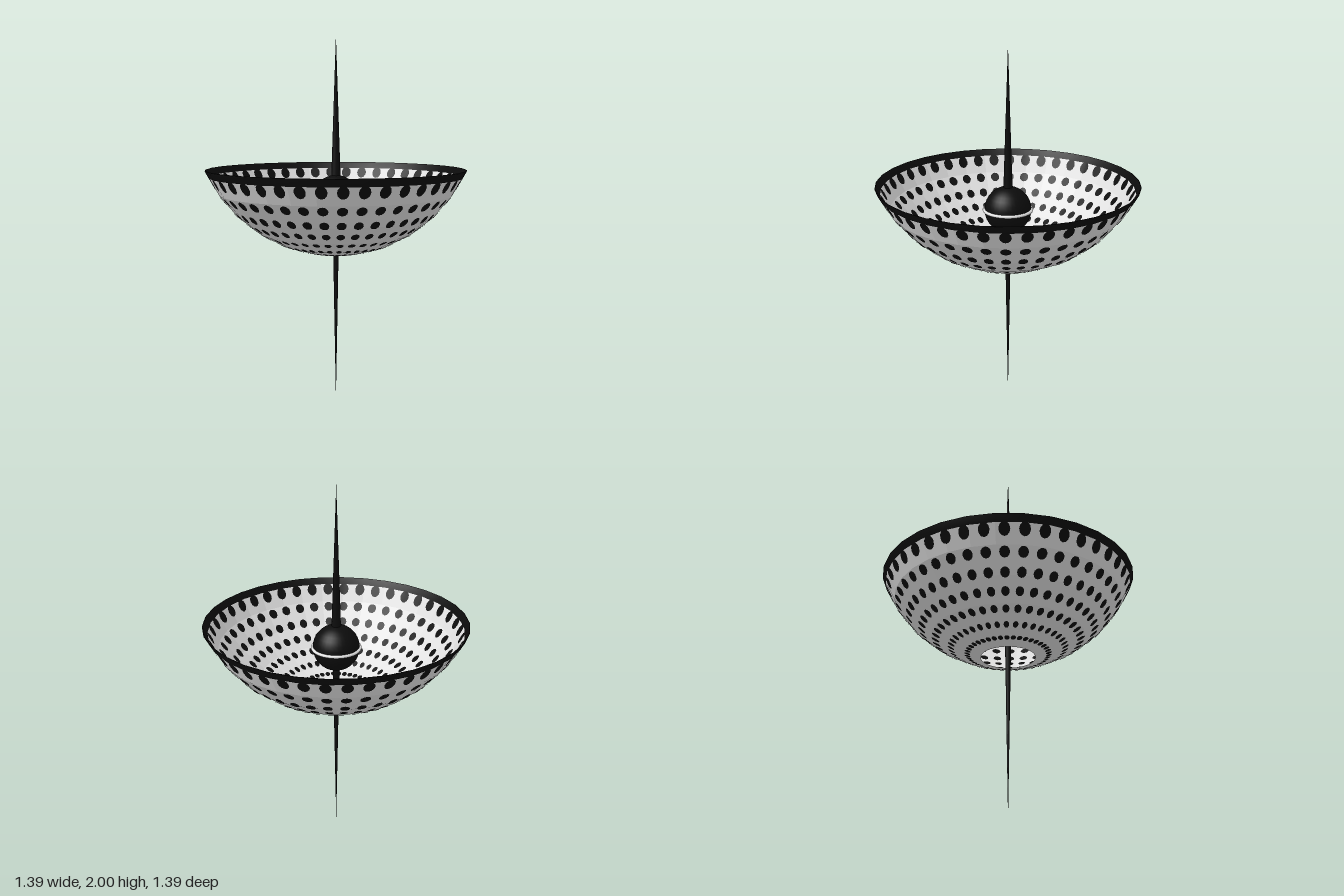
import * as THREE from 'three';

const DEG = Math.PI / 180;
const R = 0.75;        // radius of the sphere the dish is cut from
const CY = 1.585;      // height of that sphere's centre
const SIDES = 32;
const STEP = 11.25;    // degrees per dish band
const DOTS = 42;

// Point (radius, height) on the banded dish profile; deg is measured up from the bottom
function profile(deg, scale = 1) {
  const i = Math.min(Math.floor(deg / STEP + 1e-6), 5);
  const t = deg / STEP - i;
  const a = i * STEP * DEG, b = (i + 1) * STEP * DEG;
  const r = R * THREE.MathUtils.lerp(Math.sin(a), Math.sin(b), t);
  const y = R * THREE.MathUtils.lerp(Math.cos(a), Math.cos(b), t);
  return new THREE.Vector2(r * scale, -y * scale);
}

// Point on the faceted dish surface
function surface(phi, deg, scale) {
  const p = profile(deg, scale);
  const seg = (2 * Math.PI) / SIDES;
  const local = phi - (Math.floor(phi / seg) + 0.5) * seg;
  const r = (p.x * Math.cos(seg / 2)) / Math.cos(local);
  return [r * Math.sin(phi), p.y, r * Math.cos(phi)];
}

// One ring of oval dots lying just off the dish
function dotRing(deg, halfWidth, halfHeight, scale) {
  const n = 12, pos = [], idx = [];
  for (let d = 0; d < DOTS; d++) {
    const phi = (d / DOTS) * 2 * Math.PI;
    const base = pos.length / 3;
    pos.push(...surface(phi, deg, scale));
    for (let k = 0; k < n; k++) {
      const a = (k / n) * 2 * Math.PI;
      pos.push(...surface(phi + halfWidth * Math.cos(a), deg + halfHeight * Math.sin(a), scale));
      idx.push(base, base + 1 + k, base + 1 + ((k + 1) % n));
    }
  }
  const g = new THREE.BufferGeometry();
  g.setAttribute('position', new THREE.Float32BufferAttribute(pos, 3));
  g.setIndex(idx);
  g.computeVertexNormals();
  return g;
}

export function createModel() {
  const model = new THREE.Group();
  model.name = 'spikedDish';

  const dishGrey = new THREE.MeshStandardMaterial({ color: 0xe2e2e2, side: THREE.DoubleSide, flatShading: true });
  dishGrey.name = 'dishGrey';
  const black = new THREE.MeshStandardMaterial({ color: 0x0c0c0c, side: THREE.DoubleSide });
  black.name = 'black';
  const white = new THREE.MeshStandardMaterial({ color: 0xf6f6f6 });
  white.name = 'white';

  const add = (parent, name, geometry, material, y = 0) => {
    const mesh = new THREE.Mesh(geometry, material);
    mesh.name = name;
    mesh.position.y = y;
    parent.add(mesh);
    return mesh;
  };

  // Open bowl with a hole at the bottom
  const dish = new THREE.Group();
  dish.name = 'dish';
  dish.position.y = CY;
  dish.rotation.y = 1.2 * DEG;
  model.add(dish);
  const bands = [1, 2, 3, 4, 5, 6].map((i) => profile(i * STEP));
  add(dish, 'bowl', new THREE.LatheGeometry(bands, SIDES), dishGrey);

  // Black rim wrapping over the edge
  const rim = [[64.3, 1.004], [67.5, 1.004], [67.5, 0.996], [64.3, 0.996]].map(([d, s]) => profile(d, s));
  add(dish, 'rim', new THREE.LatheGeometry(rim, SIDES), black);

  // Dots inside and outside: angle, half width (radians), half height (degrees)
  const rows = [
    [17, 0.062, 1.3], [24.2, 0.045, 1.6], [31.5, 0.045, 1.9], [38.8, 0.044, 2.0],
    [46.2, 0.043, 2.1], [53.7, 0.043, 2.2], [62, 0.043, 2.7],
  ];
  for (const [side, scale] of [['inner', 0.996], ['outer', 1.004]]) {
    rows.forEach(([deg, w, h], i) => add(dish, `${side}Dots${i + 1}`, dotRing(deg, w, h, scale), black));
  }

  // Central ball with a thin ring around it
  const CENTRE = 1.14;
  add(model, 'ball', new THREE.SphereGeometry(0.126, 32, 16), black, CENTRE);
  const ring = add(model, 'ballRing', new THREE.TorusGeometry(0.127, 0.009, 8, 48), white, CENTRE);
  ring.rotation.x = Math.PI / 2;

  // Long needles above and below the ball
  const needle = (name, radius, from, to) => {
    const mesh = add(model, name, new THREE.ConeGeometry(radius, Math.abs(to - from), 12), black, (from + to) / 2);
    if (to < from) mesh.rotation.x = Math.PI;
  };
  needle('upperNeedle', 0.029, CENTRE, 2);
  needle('lowerNeedle', 0.02, CENTRE, 0);

  return model;
}
